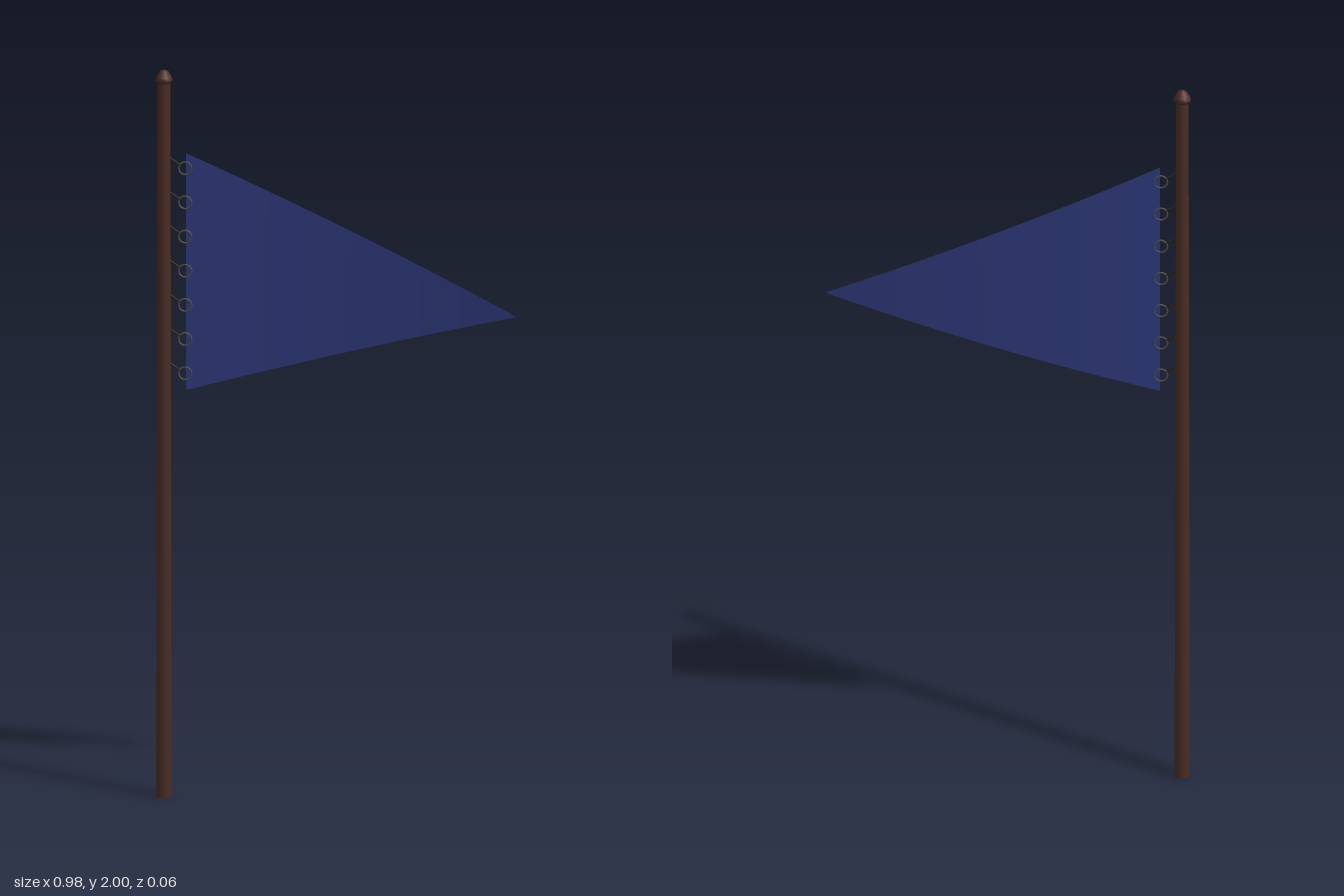
import * as THREE from 'three';

const POLE_X = -0.467, POLE_Z = -0.009;

export function createModel() {
  const wood = new THREE.MeshStandardMaterial({ color: 0x4a2c25 });
  wood.name = 'dark wood';
  const cloth = new THREE.MeshStandardMaterial({ color: 0x2c3878, side: THREE.DoubleSide });
  cloth.name = 'blue cloth';
  const metal = new THREE.MeshStandardMaterial({ color: 0x4c4a48 });
  metal.name = 'dull metal';
  const cord = new THREE.MeshStandardMaterial({ color: 0x2b211d });
  cord.name = 'dark cord';

  const model = new THREE.Group();
  model.name = 'pennantOnPole';
  const add = (name, geometry, material, parent = model) => {
    const mesh = new THREE.Mesh(geometry, material);
    mesh.name = name;
    parent.add(mesh);
    return mesh;
  };
  const lathe = (points) => new THREE.LatheGeometry(points.map(([r, y]) => new THREE.Vector2(r, y)), 8, Math.PI / 8);

  // Tapered eight-sided pole with a soft-shaded foot
  add('pole', lathe([[0, 0], [0.022, 0], [0.0175, 1.97]]), wood).position.set(POLE_X, 0, POLE_Z);

  // Blunt cap that overhangs the pole top
  add('poleCap', lathe([[0, 1.963], [0.018, 1.963], [0.0245, 1.971], [0.021, 1.98], [0.011, 1.996], [0, 2]]), wood)
    .position.set(POLE_X, 0, POLE_Z);

  // Triangular pennant: a grid tapering to the tip, curling forward at the free end
  const flag = new THREE.PlaneGeometry(1, 1, 20, 4);
  const p = flag.attributes.position;
  for (let i = 0; i < p.count; i++) {
    const t = p.getX(i) + 0.5, v = p.getY(i) + 0.5;
    const top = THREE.MathUtils.lerp(1.772, 1.365, t);
    const bottom = THREE.MathUtils.lerp(1.12, 1.365, t);
    p.setXYZ(i, -0.408 + 0.896 * t, THREE.MathUtils.lerp(bottom, top, v), POLE_Z - 0.082 * t + 0.124 * t * t);
  }
  flag.computeVertexNormals();
  add('pennant', flag, cloth);

  // Seven rings through the hoist edge, each tied to the pole by a short slanted cord
  const ringGeometry = new THREE.TorusGeometry(0.0175, 0.0025, 6, 14);
  const cordGeometry = new THREE.TubeGeometry(new THREE.LineCurve3(
    new THREE.Vector3(-0.05, 0.033, 0), new THREE.Vector3(-0.013, 0.008, 0)), 1, 0.0028, 6);
  for (let i = 0; i < 7; i++) {
    const tie = new THREE.Group();
    tie.name = 'tie' + (i + 1);
    tie.position.set(-0.41, 1.73 - i * 0.094, POLE_Z);
    add('ring', ringGeometry, metal, tie);
    add('cord', cordGeometry, cord, tie);
    model.add(tie);
  }
  return model;
}
